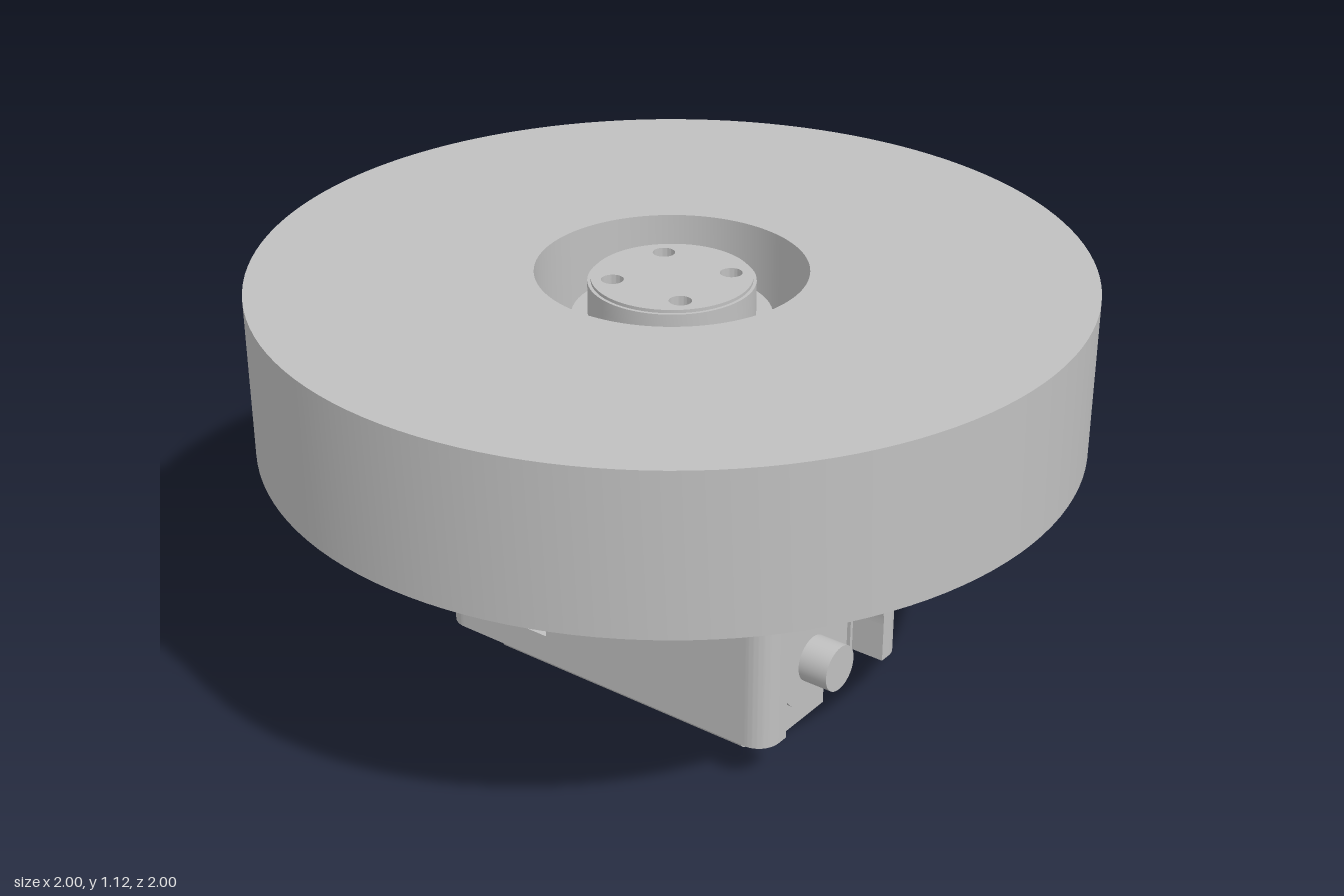
import * as THREE from 'three';
import { toCreasedNormals } from 'three/addons/utils/BufferGeometryUtils.js';

const V = (x, y) => new THREE.Vector2(x, y);

// Closed circular path, used for outlines and holes
function circle(x, y, r, Type = THREE.Path) {
  const p = new Type();
  p.absarc(x, y, r, 0, Math.PI * 2, false);
  return p;
}

// Closed rectangular path
function rect(x0, y0, x1, y1, Type = THREE.Path) {
  return new Type([V(x0, y0), V(x1, y0), V(x1, y1), V(x0, y1)]);
}

function extrude(shape, depth, segments = 12) {
  const g = new THREE.ExtrudeGeometry(shape, { depth, bevelEnabled: false, curveSegments: segments });
  return toCreasedNormals(g, 0.6);
}

// Shape drawn in (z, y), extruded along x from x0 to x1
function extrudeX(shape, x0, x1, segments) {
  const g = extrude(shape, x1 - x0, segments);
  g.rotateY(Math.PI / 2);
  g.translate(x0, 0, 0);
  return g;
}

// Shape drawn in (x, -z), extruded upward from y0 to y1
function extrudeY(shape, y0, y1, segments) {
  const g = extrude(shape, y1 - y0, segments);
  g.rotateX(-Math.PI / 2);
  g.translate(0, y0, 0);
  return g;
}

function lathe(points, segments = 96) {
  return toCreasedNormals(new THREE.LatheGeometry(points.map(p => V(...p)), segments), 0.6);
}

export function createModel() {
  const group = new THREE.Group();
  const grey = new THREE.MeshStandardMaterial({ color: 0xc0c0c0 });
  grey.name = 'light grey';

  const add = (name, geometry) => {
    const mesh = new THREE.Mesh(geometry, grey);
    mesh.name = name;
    group.add(mesh);
    return mesh;
  };

  const bottom = 0.105, top = 0.715, shaftY = 0.195;

  // Turntable disc with a round well in the middle
  add('disc', lathe([[0, top], [1, top], [1, 1.115], [0.325, 1.115], [0.325, 0.8], [0, 0.8]], 128));

  // Stepped collar and output hub in the well
  add('hubCollar', lathe([[0.24, 0.8], [0.24, 1.0], [0.19, 1.0]], 64));
  add('hubBase', lathe([[0.2, 0.98], [0.2, 1.05], [0, 1.05]], 64));
  const hubShape = circle(0, 0, 0.2, THREE.Shape);
  const hubTop = circle(0, 0, 0.192, THREE.Shape);
  for (const sx of [-1, 1]) for (const sz of [-1, 1]) {
    hubShape.holes.push(circle(sx * 0.1, sz * 0.1, 0.027));
    hubTop.holes.push(circle(sx * 0.1, sz * 0.1, 0.027));
  }
  add('hub', extrudeY(hubShape, 1.045, 1.087, 32));
  add('hubCap', extrudeY(hubTop, 1.087, 1.095, 32));

  // Housing: front and back walls with a connector window
  for (const z of [0.2, -0.3]) {
    const wall = rect(-0.41, bottom, 0.41, top, THREE.Shape);
    wall.holes.push(rect(-0.33, 0.18, -0.165, 0.42));
    const g = extrude(wall, 0.1);
    g.translate(0, 0, z);
    add(z > 0 ? 'frontWall' : 'backWall', g);
  }

  // Housing: rounded vertical corners
  const corner = new THREE.Shape();
  corner.moveTo(0.41, 0.21);
  corner.lineTo(0.5, 0.21);
  corner.lineTo(0.5, 0.24);
  corner.absarc(0.44, 0.24, 0.06, 0, Math.PI / 2, false);
  corner.lineTo(0.41, 0.3);
  const cornerGeometry = extrudeY(corner, bottom, top);
  for (let i = 0; i < 2; i++) {
    add('housingCorner', cornerGeometry).rotation.y = i * Math.PI;
    // The other diagonal: same outline mirrored in x
    const mirrored = new THREE.Shape(corner.getPoints(12).map(p => V(-p.x, p.y)).reverse());
    add('housingCorner', extrudeY(mirrored, bottom, top)).rotation.y = i * Math.PI;
  }

  // Housing: end walls with an arched opening
  const arch = new THREE.Shape();
  arch.moveTo(-0.21, top);
  arch.lineTo(-0.21, 0.21);
  arch.absarc(0, 0.21, 0.21, Math.PI, 0, true);
  arch.lineTo(0.21, top);
  add('leftEndWall', extrudeX(arch, 0.41, 0.5, 32));
  add('rightEndWall', extrudeX(arch, -0.5, -0.41, 32));

  // Inner motor case, rounded below, with two long screw holes
  const r = 0.03;
  const motor = new THREE.Shape();
  motor.moveTo(-0.2, 0.7);
  motor.lineTo(-0.2, r);
  motor.absarc(-0.2 + r, r, r, Math.PI, Math.PI * 1.5, false);
  motor.lineTo(0.2 - r, 0);
  motor.absarc(0.2 - r, r, r, Math.PI * 1.5, Math.PI * 2, false);
  motor.lineTo(0.2, 0.7);
  for (const s of [-1, 1]) motor.holes.push(circle(s * 0.15, 0.05, 0.023));
  add('motorCase', extrudeX(motor, -0.4, 0.36));

  // Motor end with notched lower corners around the screw holes
  const end = new THREE.Shape();
  end.moveTo(-0.2, 0.7);
  end.lineTo(-0.2, 0.095);
  end.lineTo(-0.13, 0.095);
  end.absarc(-0.13, 0.065, 0.03, Math.PI / 2, 0, true);
  end.lineTo(-0.1, 0);
  end.lineTo(0.1, 0);
  end.lineTo(0.1, 0.065);
  end.absarc(0.13, 0.065, 0.03, Math.PI, Math.PI / 2, true);
  end.lineTo(0.2, 0.095);
  end.lineTo(0.2, 0.7);
  add('motorEnd', extrudeX(end, 0.36, 0.4));

  // Closes the slim gap between motor and end walls above the arches
  const filler = new THREE.BoxGeometry(0.82, 0.28, 0.42);
  filler.translate(0, 0.57, 0);
  add('housingCore', filler);

  // Bushing and shaft stub at both ends
  for (const [name, radius, reach] of [['bushing', 0.13, 0.43], ['shaft', 0.06, 0.51]]) {
    const g = new THREE.CylinderGeometry(radius, radius, reach - 0.38, 48);
    g.rotateZ(Math.PI / 2);
    for (const s of [-1, 1]) add(name, g).position.set(s * (reach + 0.38) / 2, shaftY, 0);
  }

  // Connector socket in the front window, with three pins
  const socket = rect(-0.33, 0.18, -0.165, 0.42, THREE.Shape);
  socket.holes.push(rect(-0.31, 0.2, -0.185, 0.402));
  const socketGeometry = extrude(socket, 0.06);
  socketGeometry.translate(0, 0, 0.2);
  add('connectorSocket', socketGeometry);
  for (let i = 0; i < 3; i++) {
    add('connectorPin', new THREE.BoxGeometry(0.02, 0.02, 0.05))
      .position.set(-0.263, 0.25 + i * 0.052, 0.225);
  }
  return group;
}
